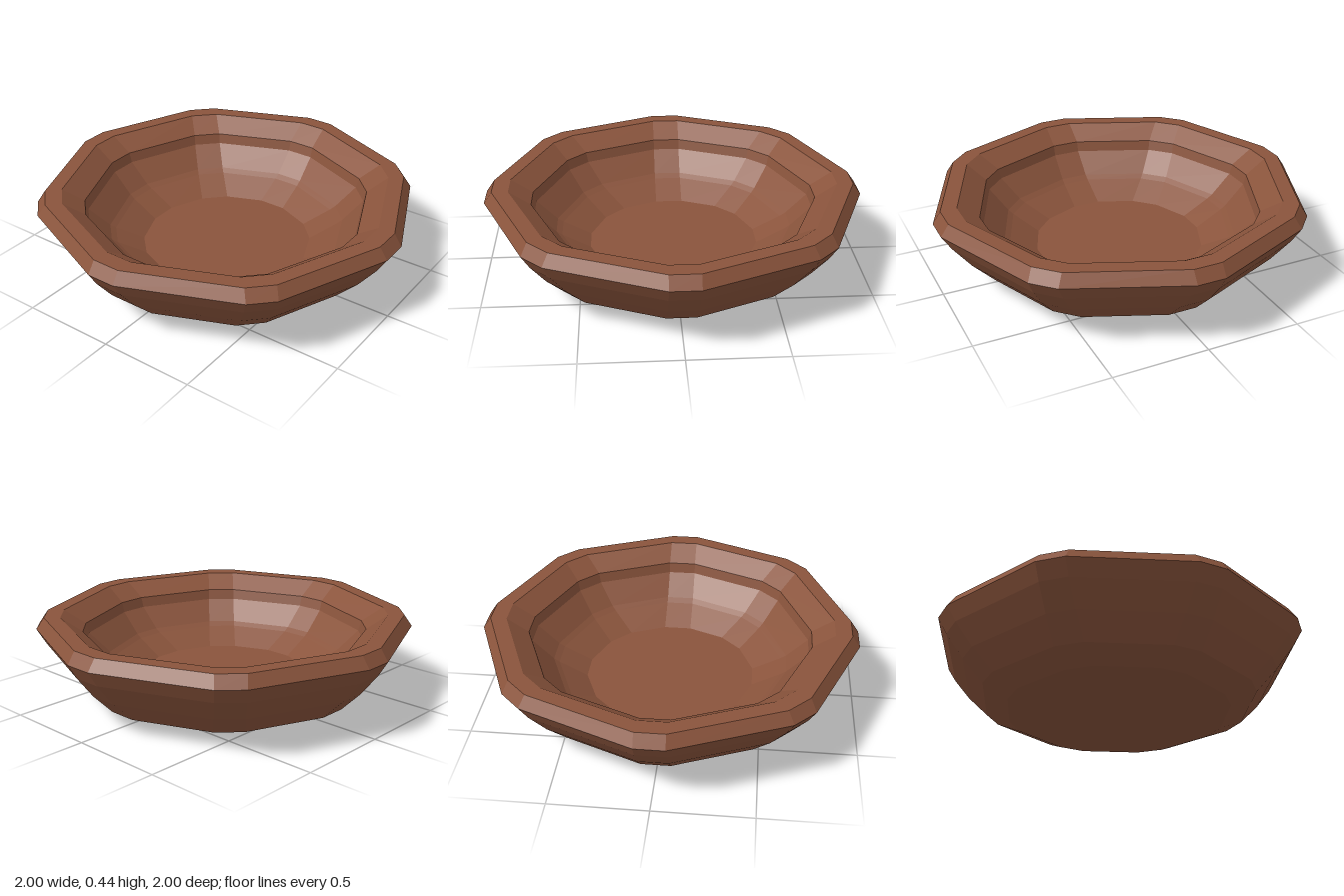
import * as THREE from 'three';

// Ring of an octagon with cut corners: eight flats of constant width, apothem r.
function ring(r, y, halfFlat = 0.075) {
  const points = [];
  for (let i = 0; i < 8; i++) {
    const a = (i * Math.PI) / 4;
    for (const side of [-halfFlat, halfFlat]) {
      points.push([
        r * Math.sin(a) + side * Math.cos(a),
        y,
        r * Math.cos(a) - side * Math.sin(a),
      ]);
    }
  }
  return points;
}

// Skin consecutive rings with flat facets, then close both ends with fans.
function loft(rings) {
  const positions = [];
  const tri = (a, b, c) => positions.push(...a, ...b, ...c);
  const n = rings[0].length;
  const first = rings[0], last = rings[rings.length - 1];
  const under = [0, first[0][1], 0], floor = [0, last[0][1], 0];
  for (let j = 0; j < n; j++) {
    const k = (j + 1) % n;
    tri(under, first[k], first[j]);
    for (let i = 0; i < rings.length - 1; i++) {
      const lo = rings[i], hi = rings[i + 1];
      tri(lo[j], lo[k], hi[k]);
      tri(lo[j], hi[k], hi[j]);
    }
    tri(last[j], last[k], floor);
  }
  const geometry = new THREE.BufferGeometry();
  geometry.setAttribute('position', new THREE.Float32BufferAttribute(positions, 3));
  geometry.computeVertexNormals();
  return geometry;
}

export function createModel() {
  const group = new THREE.Group();
  group.name = 'bowl';

  // Radius and height, from the foot up the outside, over the rim and down inside.
  const profile = [
    [0.6, 0], [0.74, 0.06], [0.855, 0.175], [0.95, 0.295], [1, 0.375],
    [0.957, 0.437], [0.87, 0.437],
    [0.755, 0.36], [0.74, 0.305], [0.63, 0.195], [0.6, 0.175], [0.45, 0.095],
  ];
  const wood = new THREE.MeshStandardMaterial({ color: 0x8a543c, flatShading: true });
  const shell = new THREE.Mesh(loft(profile.map(([r, y]) => ring(r, y))), wood);
  shell.name = 'bowlShell';
  group.add(shell);
  return group;
}
